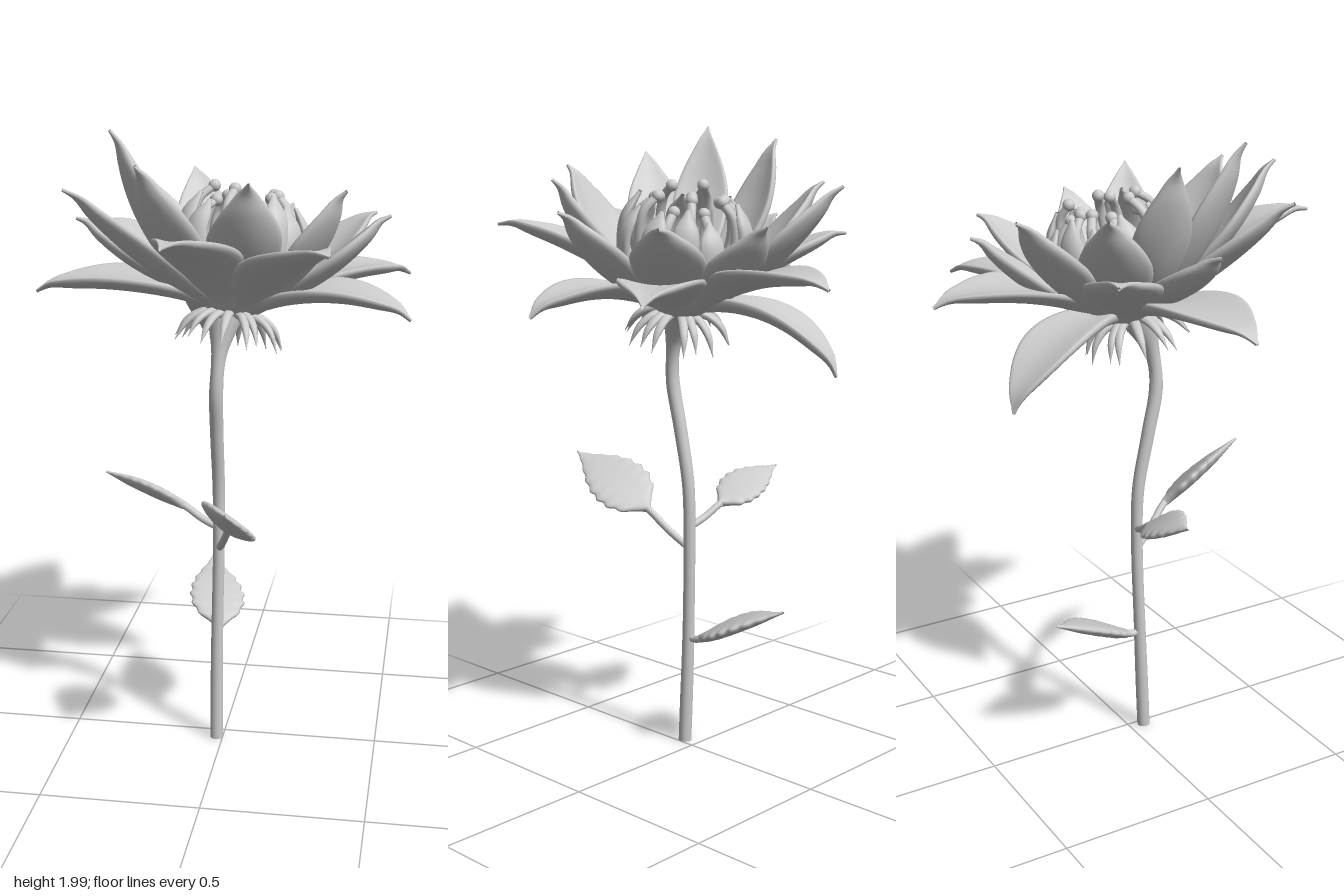
import * as THREE from 'three';

const V = (x, y, z) => new THREE.Vector3(x, y, z);
const UP = V(0, 1, 0);
const mat = new THREE.MeshStandardMaterial({ color: 0xcccccc, side: THREE.DoubleSide });
const CENTRE = V(0.03, 1.46, 0.02);
const TILT = new THREE.Quaternion().setFromUnitVectors(UP, V(0.1, 1, -0.22).normalize());

// smooth interpolation through evenly spaced values
function profile(values) {
  const c = new THREE.SplineCurve(values.map((v, i) => new THREE.Vector2(i, v)));
  return t => Math.max(c.getPoint(t).y, 0.001);
}

// closed sweep along a curve; side gives the width direction, blunt < 1 rounds the rims
function blade(curve, side, width, thick, cup, rows = 28, cols = 18, blunt = 1) {
  const pos = [], idx = [];
  for (let i = 0; i <= rows; i++) {
    const t = i / rows;
    const P = curve.getPointAt(t), T = curve.getTangentAt(t);
    const S = side.clone().addScaledVector(T, -side.dot(T)).normalize();
    const N = T.clone().cross(S);
    const w = width(t), h = thick(t);
    for (let j = 0; j < cols; j++) {
      const a = (j / cols) * Math.PI * 2, u = Math.cos(a), s = Math.sin(a);
      const p = P.clone().addScaledVector(S, u * w)
        .addScaledVector(N, Math.sign(s) * Math.abs(s) ** blunt * h + cup * w * u * u);
      pos.push(p.x, p.y, p.z);
      if (i < rows) {
        const k = i * cols + j, l = i * cols + (j + 1) % cols;
        idx.push(k, l, k + cols, l, l + cols, k + cols);
      }
    }
  }
  const g = new THREE.BufferGeometry();
  g.setAttribute('position', new THREE.Float32BufferAttribute(pos, 3));
  g.setIndex(idx);
  g.computeVertexNormals();
  return g;
}

function add(parent, name, geo) {
  const m = new THREE.Mesh(geo, mat);
  m.name = name;
  parent.add(m);
  return m;
}

const petalShape = profile([0.4, 0.66, 0.88, 1, 0.98, 0.77, 0.42, 0.03]);
const petalThick = profile([0.022, 0.021, 0.02, 0.018, 0.015, 0.005]);

// petal from the flower base to a tip; bulge > 0 arches up, < 0 makes a cup
function petal(parent, name, tip, halfWidth, bulge, cup, radius, height) {
  const dir = V(tip.x - CENTRE.x, 0, tip.z - CENTRE.z).normalize();
  const side = UP.clone().cross(dir);
  const base = dir.clone().multiplyScalar(radius).setY(height).applyQuaternion(TILT).add(CENTRE);
  const normal = tip.clone().sub(base).normalize().cross(side);
  const ctrl = base.clone().lerp(tip, 0.5).addScaledVector(normal, 2 * bulge);
  // the last stretch curls outward into a point
  const end = tip.clone().addScaledVector(normal, 0.015);
  const q = new THREE.QuadraticBezierCurve3(base, ctrl, end);
  const curve = new THREE.CatmullRomCurve3([0, 0.2, 0.4, 0.6, 0.8, 0.92].map(t => q.getPoint(t)).concat(tip));
  add(parent, name, blade(curve, side, t => halfWidth * petalShape(t), petalThick, cup, 28, 24, 0.6));
}

// leaf with a thin stalk and a toothed blade
function leaf(parent, root, start, tip, side, halfWidth) {
  const g = new THREE.Group();
  g.name = 'leaf';
  parent.add(g);
  add(g, 'leafStalk', new THREE.TubeGeometry(new THREE.CatmullRomCurve3(
    [root, root.clone().lerp(start, 0.5).add(V(0, -0.005, 0)), start, start.clone().lerp(tip, 0.15)]), 12, 0.012, 10));
  const mid = start.clone().lerp(tip, 0.5).add(V(0, 0.005, 0));
  const shape = profile([0.12, 0.7, 0.97, 1, 0.88, 0.62, 0.28, 0.02]);
  add(g, 'leafBlade', blade(new THREE.CatmullRomCurve3([start, mid, tip]), side,
    t => halfWidth * shape(t) * (1 + 0.05 * Math.sin(t * 50)), profile([0.014, 0.02, 0.017, 0.004]), 0.1, 48));
}

export function createModel() {
  const model = new THREE.Group();
  model.name = 'flower';

  // stem with a gentle S bend
  const stemPath = new THREE.CatmullRomCurve3([
    V(-0.02, 0, 0.05), V(-0.02, 0.35, 0.035), V(-0.015, 0.7, 0.025), V(-0.015, 0.87, 0.03),
    V(-0.015, 1.05, 0.065), V(-0.012, 1.2, 0.095), V(-0.005, 1.31, 0.085), V(0.01, 1.45, 0.035)]);
  const stemR = profile([0.021, 0.021, 0.02, 0.019, 0.019, 0.019, 0.02, 0.021, 0.022, 0.024, 0.06]);
  add(model, 'stem', blade(stemPath, V(1, 0, 0), stemR, stemR, 0, 60, 16));
  add(model, 'stemEnd', new THREE.CylinderGeometry(0.021, 0.021, 0.008, 16)).position.set(-0.02, 0.004, 0.05);

  // leaves
  leaf(model, V(-0.015, 0.66, 0.025), V(0.035, 0.775, 0.16), V(0.07, 0.93, 0.46), V(0.82, -0.57, 0), 0.095);
  leaf(model, V(-0.015, 0.73, 0.025), V(-0.13, 0.79, 0.0), V(-0.39, 0.885, -0.02), V(0, 0.42, 0.9), 0.07);
  leaf(model, V(-0.02, 0.36, 0.035), V(-0.02, 0.365, -0.02), V(-0.09, 0.5, -0.31), V(-0.85, 0.02, 0.35), 0.088);

  // flower base and hollow centre
  const head = new THREE.Group();
  head.name = 'flowerHead';
  head.position.copy(CENTRE);
  head.quaternion.copy(TILT);
  model.add(head);
  add(head, 'receptacle', new THREE.LatheGeometry(
    [[0, -0.05], [0.045, -0.05], [0.08, -0.025], [0.13, 0.01], [0.17, 0.06], [0.18, 0.12], [0.165, 0.15], [0.1, 0.13], [0, 0.12]]
      .map(p => new THREE.Vector2(...p)), 40));

  // outer petals: tip x, y, z, half width, bulge
  const petals = new THREE.Group();
  petals.name = 'petals';
  model.add(petals);
  [
    [0.08, 1.53, -0.60, 0.14, 0.045], [0.55, 1.50, -0.34, 0.125, 0.04],
    [0.57, 1.44, 0.10, 0.115, 0.05], [0.36, 1.69, 0.49, 0.125, 0.03],
    [-0.08, 1.72, 0.60, 0.125, 0.04], [-0.42, 1.83, 0.30, 0.11, -0.025],
    [-0.57, 1.49, 0.08, 0.13, 0.035], [-0.42, 1.66, -0.27, 0.115, 0.005],
    [-0.14, 1.25, -0.46, 0.1, 0.07]
  ].forEach(([x, y, z, w, b]) => petal(petals, 'outerPetal', V(x, y, z), w, b, 0.25, 0.07, 0));

  // inner petals, more upright and cupped
  [
    [0.16, 1.70, -0.44, 0.095, -0.03], [0.44, 1.70, -0.29, 0.11, -0.015],
    [0.50, 1.74, 0.05, 0.09, -0.03], [0.38, 1.83, 0.21, 0.09, -0.035],
    [0.13, 1.87, 0.42, 0.108, -0.04], [-0.19, 1.91, 0.39, 0.098, -0.04],
    [-0.30, 1.99, 0.21, 0.09, -0.035], [-0.45, 1.71, 0.04, 0.09, -0.025],
    [-0.35, 1.95, -0.04, 0.09, -0.04], [-0.33, 1.82, -0.25, 0.105, -0.03],
    [-0.17, 1.81, -0.45, 0.105, -0.03]
  ].forEach(([x, y, z, w, b]) => petal(petals, 'innerPetal', V(x, y, z), w, b, 0.28, 0.12, 0.03));

  // rings of small parts round the head, with slightly uneven spacing and height
  const ring = (name, n, offset, points, w, h, knob) => {
    for (let i = 0; i < n; i++) {
      const a = ((i + offset) / n) * Math.PI * 2 + 0.12 * Math.sin(i * 2.3);
      const k = 1 + 0.07 * Math.sin(i * 3.7 + n);
      const pts = points.map(([r, y]) => V(Math.sin(a) * r, y * k, Math.cos(a) * r));
      const side = V(Math.cos(a), 0, -Math.sin(a));
      add(head, name, blade(new THREE.CatmullRomCurve3(pts), side, w, h, 0.1, 16, 10));
      if (knob) add(head, 'stamenKnob', new THREE.SphereGeometry(knob, 12, 8)).position.copy(pts.at(-1));
    }
  };
  // incurved stamens: broad outside, slender with knobs inside
  ring('broadStamen', 11, 0, [[0.155, 0.06], [0.19, 0.14], [0.19, 0.23], [0.15, 0.31]],
    profile([0.04, 0.048, 0.048, 0.044, 0.036, 0.006]), profile([0.016, 0.017, 0.017, 0.016, 0.006]));
  ring('slenderStamen', 12, 0.5, [[0.135, 0.1], [0.158, 0.2], [0.145, 0.28], [0.105, 0.32]],
    profile([0.018, 0.016, 0.015, 0.014]), profile([0.015, 0.014, 0.013, 0.012]), 0.019);

  // thin pointed sepals splayed below the head
  ring('sepal', 16, 0, [[0.04, -0.03], [0.095, -0.04], [0.135, -0.07], [0.165, -0.125]],
    profile([0.016, 0.015, 0.011, 0.001]), profile([0.013, 0.012, 0.009, 0.001]));

  return model;
}
